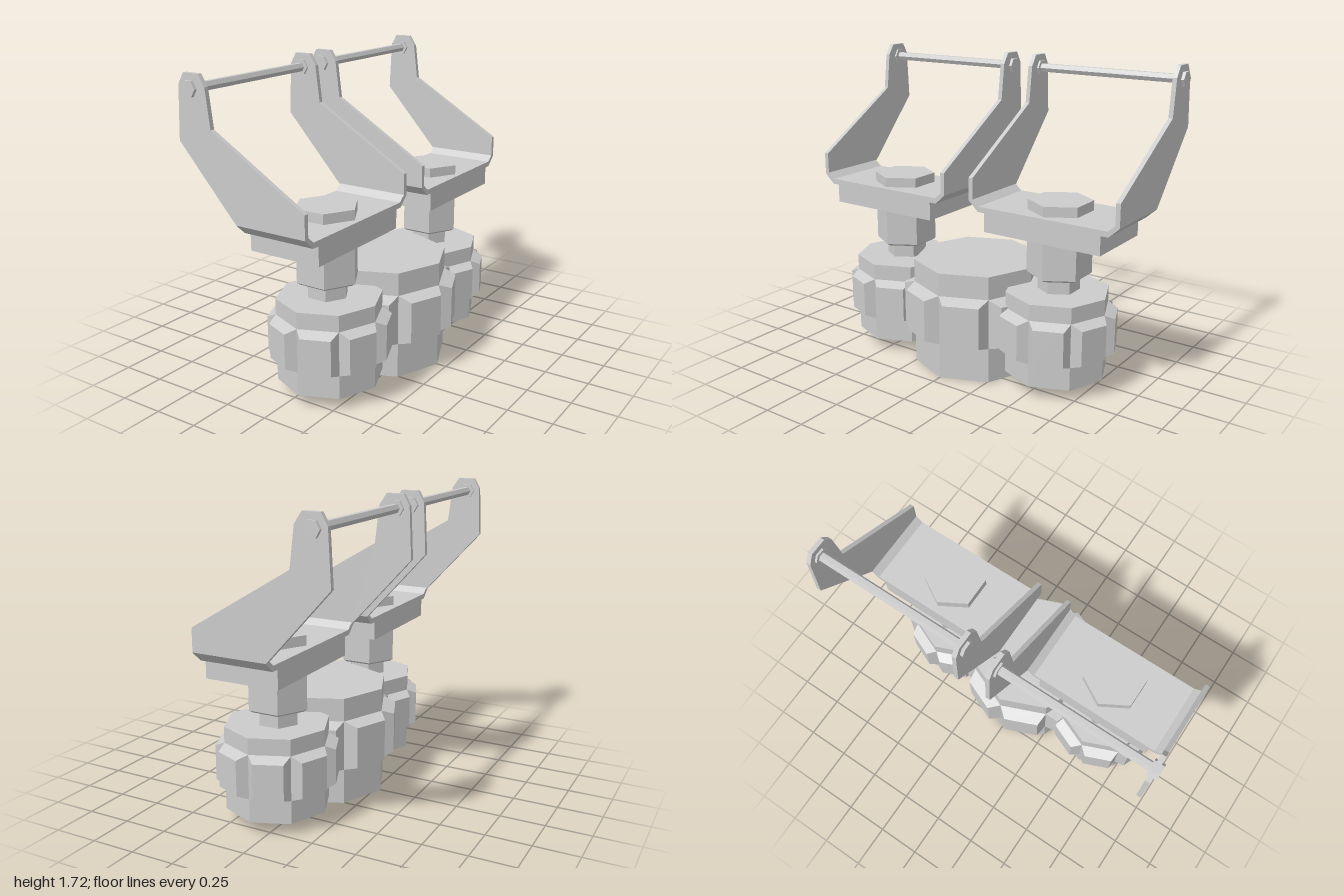
import * as THREE from 'three';

const material = new THREE.MeshStandardMaterial({ color: 0xcccccc, flatShading: true });
const AXIS_X = 0.08;

function add(parent, name, geometry, x = 0, y = 0, z = 0) {
  const mesh = new THREE.Mesh(geometry, material);
  mesh.name = name;
  mesh.position.set(x, y, z);
  parent.add(mesh);
  return mesh;
}

// Upright prism from y0 to y1; hexagons get their corners on the x axis
function prism(sides, r, y0, y1, rBottom = r) {
  const g = new THREE.CylinderGeometry(r, rBottom, y1 - y0, sides);
  if (sides === 6) g.rotateY(Math.PI / 6);
  return g.translate(0, (y0 + y1) / 2, 0);
}

function polygon(points) {
  return new THREE.Shape(points.map(([x, y]) => new THREE.Vector2(x, y)));
}

// Tapered pad that covers one flat of an octagonal drum
function padGeometry(r, low, high) {
  const apothem = r * Math.cos(Math.PI / 8);
  const half = r * Math.sin(Math.PI / 8);
  const outer = r * 1.12;
  const g = new THREE.BoxGeometry(2 * half, high - low, outer - apothem);
  const p = g.attributes.position;
  for (let i = 0; i < p.count; i++) {
    const front = p.getZ(i) > 0;
    const up = p.getY(i) > 0;
    if (front) {
      p.setX(i, p.getX(i) * 0.73);
      p.setY(i, p.getY(i) + (up ? -0.028 : 0.022));
    }
  }
  return g.translate(0, (low + high) / 2, (apothem + outer) / 2);
}

// Octagonal drum with a ring of eight pads
function drum(name, r, y0, y1, padLow, padHigh) {
  const group = new THREE.Group();
  group.name = name;
  add(group, 'drumBody', prism(8, r, y0, y1));
  const pad = padGeometry(r, padLow, padHigh);
  for (let i = 0; i < 8; i++) {
    add(group, 'drumPad', pad).rotation.y = (i + 0.5) * Math.PI / 4;
  }
  return group;
}

function bracket() {
  const group = new THREE.Group();
  group.name = 'bracket';

  // Floor with bent-up ends, drawn in z-y and swept across x
  const half = [[0.35, 0.945], [0.39, 0.945], [0.45, 1.0], [0.425, 1.008], [0.385, 0.975]];
  const mirrored = half.map(([z, y]) => [-z, y]).reverse();
  const floor = new THREE.ExtrudeGeometry(polygon([...half, ...mirrored]), { depth: 0.42, bevelEnabled: false });
  floor.rotateY(-Math.PI / 2).translate(0.275, 0, 0);
  add(group, 'bracketFloor', floor);
  add(group, 'bracketBlock', new THREE.BoxGeometry(0.42, 0.107, 0.696), 0.065, 0.8935, 0);

  // Cranked side arms
  const arm = new THREE.ExtrudeGeometry(polygon([
    [-0.145, 1.0], [0.275, 1.0], [0.275, 1.125], [-0.28, 1.455], [-0.305, 1.66],
    [-0.345, 1.72], [-0.44, 1.72], [-0.475, 1.66], [-0.49, 1.38],
  ]), { depth: 0.025, bevelEnabled: false });
  const nut = prism(6, 0.045, -0.027, 0.027).rotateX(Math.PI / 2);
  for (const side of [-1, 1]) {
    add(group, 'sideArm', arm, 0, 0, side * 0.4375 - 0.0125);
    add(group, 'rodNut', nut, -0.4, 1.645, side * 0.44);
  }
  add(group, 'crossRod', prism(6, 0.026, -0.44, 0.44).rotateX(Math.PI / 2), -0.4, 1.645, 0);
  return group;
}

function station(z) {
  const group = new THREE.Group();
  group.name = z > 0 ? 'frontStation' : 'backStation';
  const outerDrum = drum('outerDrum', 0.287, 0.07, 0.535, 0.2, 0.445);
  outerDrum.position.x = AXIS_X;
  group.add(outerDrum, bracket());

  // Stepped hexagonal post and bolt head
  const x = AXIS_X - 0.01;
  add(group, 'postNeck', prism(6, 0.115, 0.53, 0.62), x);
  add(group, 'postChamfer', prism(6, 0.175, 0.615, 0.628, 0.155), x);
  add(group, 'post', prism(6, 0.175, 0.628, 0.845), x);
  add(group, 'boltHead', prism(6, 0.175, 0.97, 1.03), x);
  group.position.z = z;
  return group;
}

export function createModel() {
  const model = new THREE.Group();
  model.name = 'model';
  const centre = drum('centreDrum', 0.362, 0, 0.615, 0.2, 0.485);
  centre.position.x = AXIS_X;
  model.add(centre, station(0.533), station(-0.533));
  return model;
}
